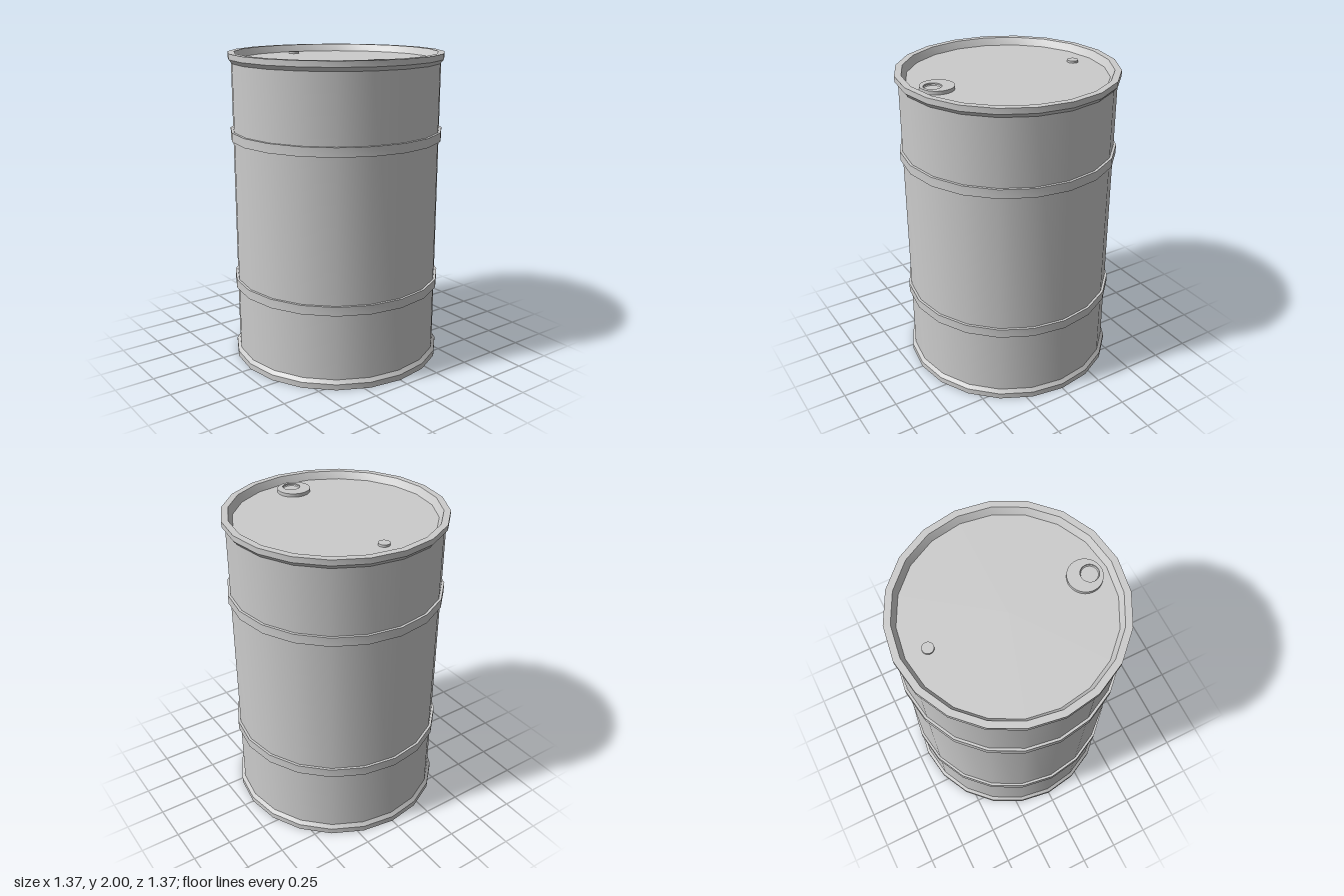
import * as THREE from 'three';
import { toCreasedNormals } from 'three/addons/utils/BufferGeometryUtils.js';

const SIDES = 20;
const LID_Y = 1.955;

export function createModel() {
  const model = new THREE.Group();
  const material = new THREE.MeshStandardMaterial({ color: 0xcccccc });

  function add(name, geometry, parent = model) {
    const mesh = new THREE.Mesh(geometry, material);
    mesh.name = name;
    parent.add(mesh);
    return mesh;
  }

  // Revolved part: profile of [radius, y], running so that the outside faces out
  function revolve(name, profile, sides = SIDES, parent = model) {
    const points = profile.map(([r, y]) => new THREE.Vector2(r, y));
    return add(name, toCreasedNormals(new THREE.LatheGeometry(points, sides), Math.PI / 6), parent);
  }

  // Plain drum wall
  revolve('wall', [[0.666, 0.06], [0.666, 1.94]]);

  // Rolled rims with the recessed bottom and lid
  revolve('bottomRim', [[0, 0.045], [0.62, 0.045], [0.645, 0], [0.686, 0], [0.686, 0.037], [0.666, 0.06]]);
  revolve('topRim', [[0.666, 1.94], [0.686, 1.965], [0.686, 2], [0.645, 2], [0.62, LID_Y], [0, LID_Y]]);

  // Raised hoops
  for (const [name, y] of [['lowerHoop', 0.517], ['upperHoop', 1.487]]) {
    revolve(name, [[0.666, y - 0.029], [0.682, y - 0.029], [0.682, y + 0.029], [0.666, y + 0.029]]);
  }

  // Large filler fitting: a disc with an off-centre opening
  const filler = new THREE.Group();
  filler.name = 'filler';
  filler.position.set(0, LID_Y, 0.48);
  model.add(filler);

  const disc = new THREE.Shape().absarc(0, 0, 0.104, 0, Math.PI * 2);
  disc.holes.push(new THREE.Path().absarc(0, -0.03, 0.055, 0, Math.PI * 2, true));
  const discGeometry = new THREE.ExtrudeGeometry(disc, { depth: 0.022, bevelEnabled: false, curveSegments: 32 });
  discGeometry.rotateX(-Math.PI / 2);
  add('fillerDisc', toCreasedNormals(discGeometry, Math.PI / 6), filler);

  // Plug sunk in the opening
  revolve('fillerPlug', [[0.055, 0.014], [0.05, 0.008], [0, 0.008]], 32, filler).position.z = 0.03;

  // Small vent plug on the far side of the lid
  revolve('ventPlug', [[0.035, 0], [0.035, 0.014], [0, 0.014]], 32).position.set(0, LID_Y, -0.485);

  return model;
}
